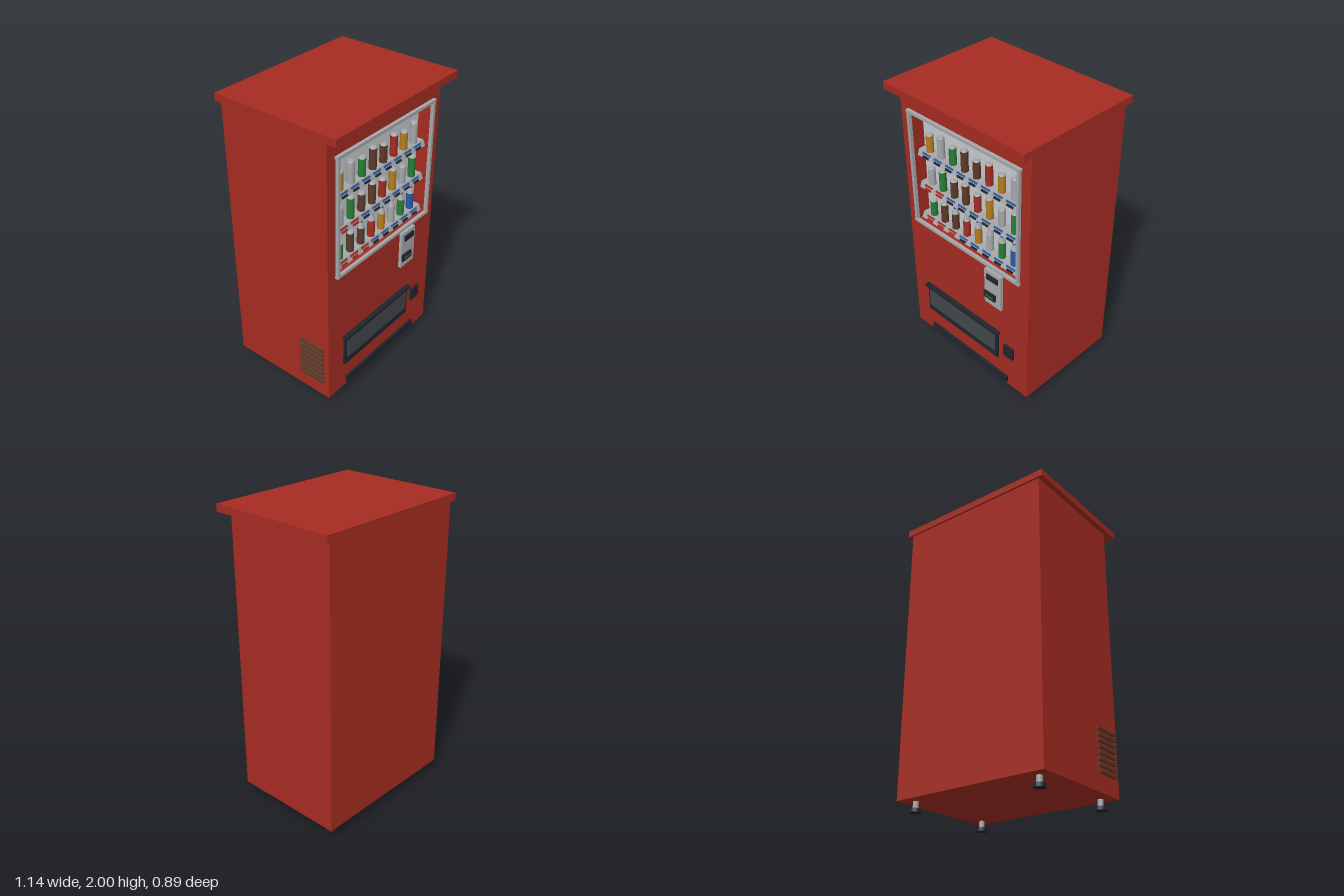
import * as THREE from 'three';

const mat = (name, color) => {
  const m = new THREE.MeshStandardMaterial({ color });
  m.name = name;
  return m;
};

export function createModel() {
  const M = {
    red: mat('cabinet red', 0xa62c22),
    silver: mat('silver', 0xa6a8ab),
    panel: mat('display white', 0xc8cbd0),
    dark: mat('charcoal', 0x22242d),
    smoke: mat('smoked flap', 0x42484b),
    brown: mat('brown', 0x5c3a28),
    gold: mat('gold', 0xb67e1f),
    green: mat('green', 0x2a7d38),
    blue: mat('blue', 0x2a5ba6),
  };
  const model = new THREE.Group();
  model.name = 'vendingMachine';

  const add = (name, geometry, material, parent = model) => {
    const mesh = new THREE.Mesh(geometry, material);
    mesh.name = name;
    parent.add(mesh);
    return mesh;
  };
  // box given by its minimum and maximum on each axis
  const box = (name, m, x0, x1, y0, y1, z0, z1, parent) => {
    const b = add(name, new THREE.BoxGeometry(x1 - x0, y1 - y0, z1 - z0), m, parent);
    b.position.set((x0 + x1) / 2, (y0 + y1) / 2, (z0 + z1) / 2);
    return b;
  };
  // upright cylinder standing at (x, y, z)
  const post = (name, m, rTop, rBottom, h, x, y, z, parent, sides = 12) => {
    const c = add(name, new THREE.CylinderGeometry(rTop, rBottom, h, sides), m, parent);
    c.position.set(x, y + h / 2, z);
    return c;
  };
  const group = (name) => {
    const g = new THREE.Group();
    g.name = name;
    model.add(g);
    return g;
  };
  const rect = (S, x0, x1, y0, y1) => {
    const s = new S();
    s.moveTo(x0, y0);
    s.lineTo(x1, y0);
    s.lineTo(x1, y1);
    s.lineTo(x0, y1);
    s.closePath();
    return s;
  };
  // plate with a rectangular opening, extruded towards the front
  const framePlate = (name, m, outer, inner, z, depth) => {
    const s = rect(THREE.Shape, ...outer);
    s.holes.push(rect(THREE.Path, ...inner));
    const f = add(name, new THREE.ExtrudeGeometry(s, { depth, bevelEnabled: false }), m);
    f.position.z = z;
    return f;
  };

  // cabinet with a recessed display and an overhanging roof
  box('cabinet', M.red, -0.537, 0.537, 0.07, 1.955, -0.43, 0.26);
  framePlate('cabinetFront', M.red, [-0.537, 0.537, 0.07, 1.955], [-0.45, 0.45, 1.03, 1.81], 0.26, 0.092);
  box('roof', M.red, -0.57, 0.57, 1.953, 2, -0.443, 0.443);
  box('displayBack', M.panel, -0.45, 0.45, 1.03, 1.81, 0.258, 0.263);
  framePlate('displayFrame', M.silver, [-0.465, 0.465, 1.013, 1.828], [-0.446, 0.446, 1.03, 1.81], 0.35, 0.023);
  box('frameTop', M.silver, -0.47, 0.47, 1.812, 1.83, 0.35, 0.374);
  box('frameBottom', M.silver, -0.47, 0.47, 1.011, 1.026, 0.35, 0.374);

  // shelf section (z, y) with a slanted front, swept along x
  const section = new THREE.Shape();
  section.moveTo(-0.262, 0);
  section.lineTo(-0.262, -0.04);
  section.lineTo(-0.335, -0.04);
  section.lineTo(-0.32, 0);
  section.closePath();
  const shelfGeo = new THREE.ExtrudeGeometry(section, { depth: 0.872, bevelEnabled: false });
  shelfGeo.rotateY(Math.PI / 2);
  shelfGeo.translate(-0.436, 0, 0);

  const can = (x, y, h, m, parent) => {
    const z = 0.293;
    post('can', m, 0.024, 0.024, h - 0.01, x, y, z, parent);
    post('canLid', M.silver, 0.019, 0.024, 0.01, x, y + h - 0.01, z, parent);
  };
  const bottle = (x, y, m, cap, parent) => {
    const z = 0.293;
    post('bottle', m, 0.024, 0.024, 0.115, x, y, z, parent);
    post('bottleNeck', M.silver, 0.011, 0.024, 0.04, x, y + 0.115, z, parent);
    post('bottleCap', cap, 0.012, 0.012, 0.015, x, y + 0.153, z, parent);
  };

  // three shelves, each with eight products, price labels and buttons
  const rows = [
    { y: 1.55, hot: 0, items: ['gold', 'silver', 'green', 'brown', 'brown', 'red', 'gold', 'silver'] },
    { y: 1.312, hot: 2, items: ['silver', 'green', 'brown', 'brown', 'red', 'gold', 'silver', 'green'] },
    { y: 1.073, hot: 3, items: ['green', 'brown', 'brown', 'red', 'gold', 'silver', 'green', 'blue'] },
  ];
  const caps = ['blue', 'silver', 'blue', 'silver', 'blue', 'blue'];
  const slant = -Math.atan2(0.015, 0.04);
  rows.forEach(({ y, hot, items }, r) => {
    const shelf = group('shelf' + (r + 1));
    add('shelfRail', shelfGeo, M.silver, shelf).position.y = y;
    items.forEach((color, i) => {
      const x = -0.361 + i * 0.1032;
      if (r === 2 && i > 1) bottle(x, y, M[color], M[caps[i - 2]], shelf);
      else can(x, y, (i % 2 ? 0.147 : 0.125) - (r === 2 ? 0.006 : 0), M[color], shelf);
      const label = add('priceLabel', new THREE.BoxGeometry(0.07, 0.013, 0.006), i < hot ? M.red : M.blue, shelf);
      label.position.set(x, y - 0.012, 0.3255);
      label.rotation.x = slant;
      const button = add('button', new THREE.BoxGeometry(0.05, 0.013, 0.012), i < hot ? M.red : M.dark, shelf);
      button.position.set(x, y - 0.03, 0.333);
      button.rotation.x = slant;
    });
  });

  // payment panel
  const pay = group('paymentPanel');
  box('panelPlate', M.silver, 0.18, 0.323, 0.717, 0.984, 0.35, 0.373, pay);
  box('coinDisplay', M.dark, 0.206, 0.3, 0.918, 0.958, 0.37, 0.382, pay);
  box('noteReader', M.dark, 0.185, 0.28, 0.768, 0.817, 0.37, 0.386, pay);
  box('noteLight', M.green, 0.2, 0.265, 0.786, 0.796, 0.384, 0.389, pay);

  // pickup door, coin return and kick plate
  const door = group('pickupDoor');
  box('doorSurround', M.dark, -0.392, 0.284, 0.27, 0.49, 0.35, 0.367, door);
  box('doorFlap', M.smoke, -0.373, 0.263, 0.322, 0.484, 0.366, 0.373, door);
  box('doorLip', M.dark, -0.402, 0.294, 0.483, 0.504, 0.35, 0.384, door);
  box('coinReturn', M.dark, 0.338, 0.42, 0.34, 0.43, 0.35, 0.37);
  box('kickPlate', M.dark, -0.37, 0.367, 0.097, 0.144, 0.35, 0.369);

  // side vent slats
  const vent = group('sideVent');
  for (let i = 0; i < 8; i++) {
    const y = 0.194 + i * 0.0383;
    box('ventSlat', M.brown, -0.553, -0.535, y - 0.009, y + 0.009, 0.125, 0.315, vent);
  }

  // levelling feet
  for (const x of [-0.453, 0.453]) {
    for (const z of [0.274, -0.352]) {
      const foot = group('foot');
      post('footPad', M.dark, 0.036, 0.038, 0.024, x, 0, z, foot, 16);
      post('footStem', M.silver, 0.018, 0.018, 0.05, x, 0.022, z, foot);
    }
  }
  return model;
}
